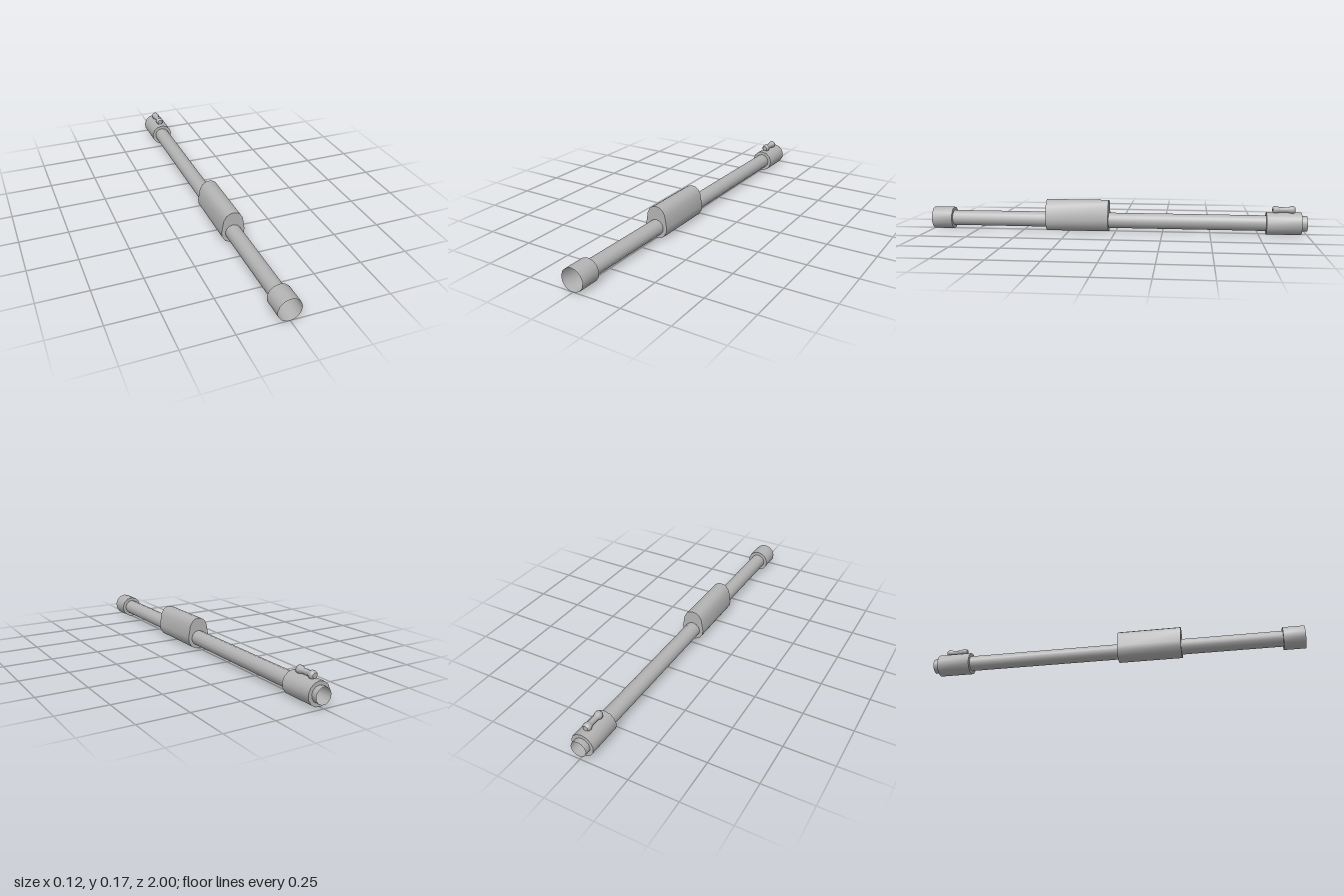
import * as THREE from 'three';
import { toCreasedNormals } from 'three/addons/utils/BufferGeometryUtils.js';

const SIDES = 13;
const AXIS_Y = 0.0575;

export function createModel() {
  const model = new THREE.Group();
  const grey = new THREE.MeshStandardMaterial({ color: 0xb4b4b4, side: THREE.DoubleSide });
  grey.name = 'plain grey';

  function add(name, geometry) {
    const mesh = new THREE.Mesh(toCreasedNormals(geometry, 0.65), grey);
    mesh.name = name;
    model.add(mesh);
    return mesh;
  }

  // Turned part along z, from a profile of [radius, z] running front to back
  function turned(name, profile, y = AXIS_Y, sides = SIDES) {
    const points = profile.map(([r, z]) => new THREE.Vector2(r, -z));
    const geometry = new THREE.LatheGeometry(points, sides);
    geometry.rotateX(-Math.PI / 2);
    geometry.translate(0, y, 0);
    return add(name, geometry);
  }

  // Long hollow tube, blocked inside the housing
  turned('tube', [[0.041, 0.89], [0.041, -1]]);
  turned('innerPlug', [[0, 0.2], [0.041, 0.2]]);

  // Open cup at the front end
  turned('frontCup', [[0.059, 1], [0.059, 0.89], [0.041, 0.89]]);

  // Sleeve near the rear end
  turned('rearSleeve', [[0.041, -0.79], [0.059, -0.79], [0.059, -0.97], [0.041, -0.97]]);

  // Housing: round below, taller and narrower above
  const half = [
    [0.015, 0], [0.041, 0.013], [0.058, 0.04], [0.061, 0.065],
    [0.05, 0.13], [0.036, 0.153], [0.019, 0.164], [0, 0.1675],
  ];
  const outline = [...half, ...half.slice(0, -1).reverse().map(([x, y]) => [-x, y])];
  const shape = new THREE.Shape(outline.map(([x, y]) => new THREE.Vector2(x, y)));
  const housing = new THREE.ExtrudeGeometry(shape, { depth: 0.335, bevelEnabled: false });
  housing.translate(0, 0, 0.037);
  add('housing', housing);

  // Small spool-shaped switch on top of the sleeve
  turned('switchSpool', [
    [0, -0.822], [0.013, -0.822], [0.02, -0.83], [0.021, -0.843], [0.014, -0.858],
    [0.014, -0.902], [0.021, -0.917], [0.02, -0.93], [0.013, -0.938], [0, -0.938],
  ], 0.129, 12);

  // The whole piece leans very slightly sideways
  model.rotation.y = -0.003;
  return model;
}
